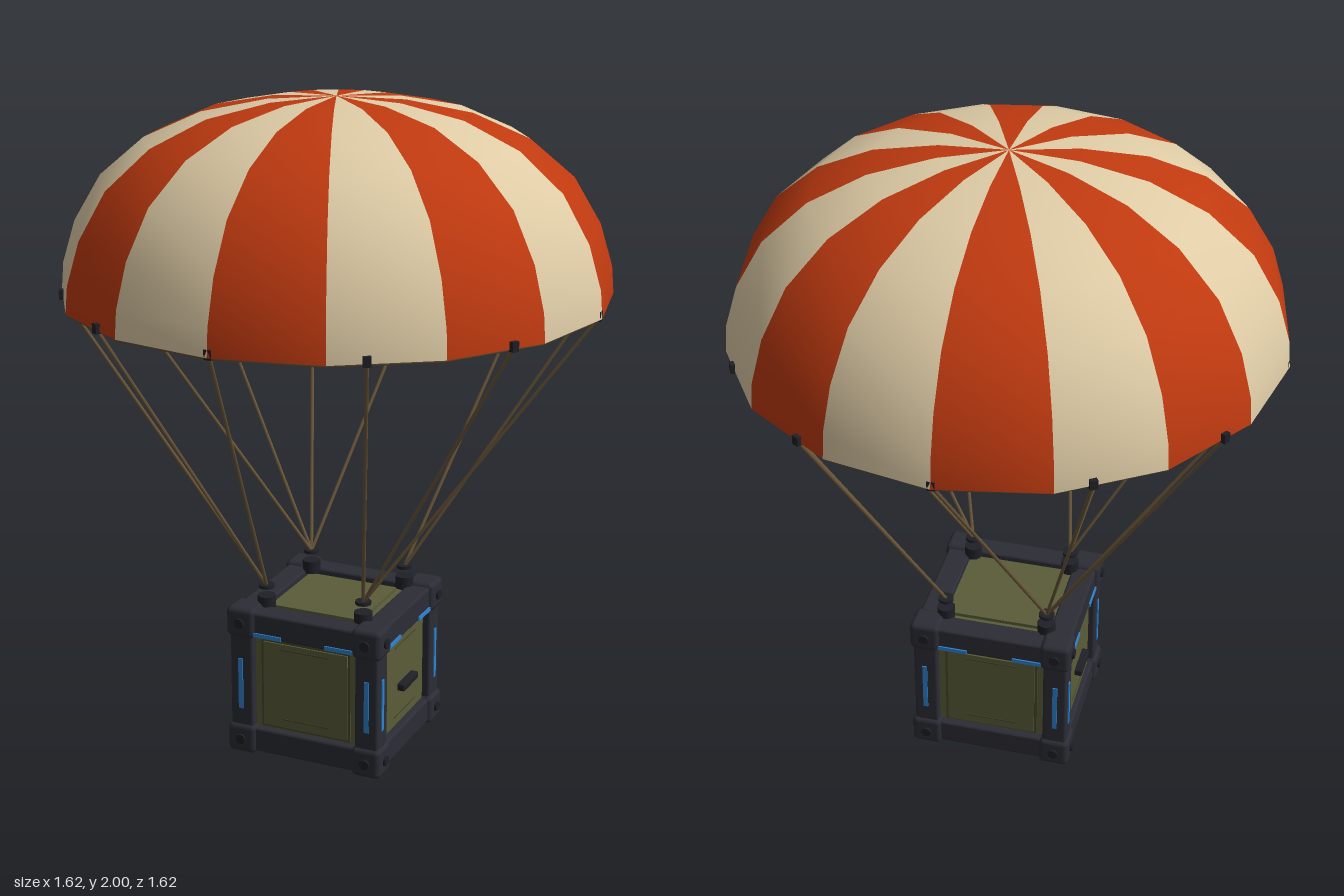
import * as THREE from 'three';
import { RoundedBoxGeometry } from 'three/addons/geometries/RoundedBoxGeometry.js';

const mat = (name, color, side = THREE.FrontSide) => {
  const m = new THREE.MeshStandardMaterial({ color, side });
  m.name = name;
  return m;
};

export function createModel() {
  const orange = mat('orange cloth', 0xc03a10, THREE.DoubleSide);
  const cream = mat('cream cloth', 0xdfcca6, THREE.DoubleSide);
  const rope = mat('rope brown', 0x6a573a);
  const dark = mat('dark frame', 0x2b2c35);
  const black = mat('black fittings', 0x1f2026);
  const olive = mat('olive panel', 0x5a5c38);
  const deepOlive = mat('deep olive', 0x45472b);
  const blue = mat('blue light', 0x2d84d2);

  const model = new THREE.Group();
  model.name = 'parachuteCrate';
  const add = (parent, name, geo, material, x = 0, y = 0, z = 0) => {
    const mesh = new THREE.Mesh(geo, material);
    mesh.name = name;
    mesh.position.set(x, y, z);
    parent.add(mesh);
    return mesh;
  };
  const box = (w, h, d) => new THREE.BoxGeometry(w, h, d);
  const group = (name, parent = model) => {
    const g = new THREE.Group();
    g.name = name;
    parent.add(g);
    return g;
  };

  // Canopy: sixteen gores in two alternating colours
  const canopy = group('canopy');
  const profile = [[0.81, 1.43], [0.803, 1.51], [0.765, 1.635], [0.685, 1.77],
    [0.555, 1.88], [0.39, 1.953], [0.2, 1.99], [0, 2]].map(p => new THREE.Vector2(...p));
  const step = Math.PI / 8;
  for (let i = 0; i < 16; i++) {
    add(canopy, 'gore', new THREE.LatheGeometry(profile, 1, i * step, step), i % 2 ? cream : orange);
  }
  const hem = add(canopy, 'hem', new THREE.TorusGeometry(0.8, 0.008, 6, 16), rope, 0, 1.43, 0);
  hem.rotation.x = Math.PI / 2;

  // Suspension lines: twelve clips on the hem, gathered at the four crate corners
  const rigging = group('rigging');
  const corners = [[1, 1], [-1, 1], [-1, -1], [1, -1]];
  const cornerOf = [0, 0, 0, 1, 1, 1, 2, 2, 2, 2, 3, 3];
  const up = new THREE.Vector3(0, 1, 0);
  cornerOf.forEach((c, i) => {
    const a = i * Math.PI / 6;
    const top = new THREE.Vector3(0.797 * Math.cos(a), 1.43, 0.797 * Math.sin(a));
    const end = new THREE.Vector3(0.16 * corners[c][0], 0.53, 0.16 * corners[c][1]);
    const dir = top.clone().sub(end);
    const line = add(rigging, 'suspensionLine', new THREE.CylinderGeometry(0.0055, 0.0055, dir.length(), 6), rope);
    line.position.copy(top).add(end).multiplyScalar(0.5);
    line.quaternion.setFromUnitVectors(up, dir.normalize());
    const clip = add(rigging, 'clip', box(0.022, 0.028, 0.022), black, top.x, 1.438, top.z);
    clip.rotation.y = -a;
  });

  // Crate core, with recessed top and bottom panels
  const crate = group('crate');
  add(crate, 'core', box(0.44, 0.42, 0.44), olive, 0, 0.24, 0);
  add(crate, 'topPanel', box(0.28, 0.012, 0.28), olive, 0, 0.455, 0);
  add(crate, 'bottomPanel', box(0.28, 0.012, 0.28), olive, 0, 0.025, 0);

  // Corner posts, corner blocks, bolts and line anchors
  const capGeo = new THREE.CylinderGeometry(0.016, 0.016, 0.012, 10);
  for (const [sx, sz] of corners) {
    add(crate, 'post', new RoundedBoxGeometry(0.075, 0.4, 0.075, 2, 0.008), dark, sx * 0.207, 0.24, sz * 0.207);
    for (const y of [0.049, 0.433]) {
      add(crate, 'cornerBlock', new RoundedBoxGeometry(0.094, 0.094, 0.094, 2, 0.016), dark, sx * 0.207, y, sz * 0.207);
      add(crate, 'bolt', capGeo, black, sx * 0.255, y, sz * 0.207).rotation.z = Math.PI / 2;
      add(crate, 'bolt', capGeo, black, sx * 0.207, y, sz * 0.255).rotation.x = Math.PI / 2;
    }
    add(crate, 'anchorLug', new THREE.CylinderGeometry(0.028, 0.028, 0.04, 12), black, sx * 0.16, 0.48, sz * 0.16);
    add(crate, 'anchorRing', new THREE.CylinderGeometry(0.024, 0.024, 0.01, 12), black, sx * 0.16, 0.53, sz * 0.16);
  }

  // Four sides: beams, raised panel with grooves, and blue light strips
  for (let i = 0; i < 4; i++) {
    const side = group('side', crate);
    side.rotation.y = i * Math.PI / 2;
    for (const y of [0.05, 0.43]) {
      add(side, 'beam', new RoundedBoxGeometry(0.36, 0.078, 0.075, 2, 0.008), dark, 0, y, 0.206);
    }
    add(side, 'panelBorder', box(0.295, 0.29, 0.006), deepOlive, 0, 0.24, 0.222);
    add(side, 'panel', box(0.278, 0.275, 0.012), olive, 0, 0.24, 0.224);
    for (const y of [0.13, 0.36]) add(side, 'groove', box(0.16, 0.004, 0.002), deepOlive, 0, y, 0.2305);
    for (const s of [-1, 1]) {
      add(side, 'uprightLight', box(0.015, 0.165, 0.006), blue, s * 0.209, 0.232, 0.245);
      add(side, 'beamLight', box(0.104, 0.013, 0.006), blue, s * 0.124, 0.4, 0.245);
    }
    // Carrying handles on the left and right
    if (i % 2) add(side, 'handle', new RoundedBoxGeometry(0.112, 0.024, 0.03, 2, 0.005), black, 0, 0.222, 0.238);
  }
  return model;
}
